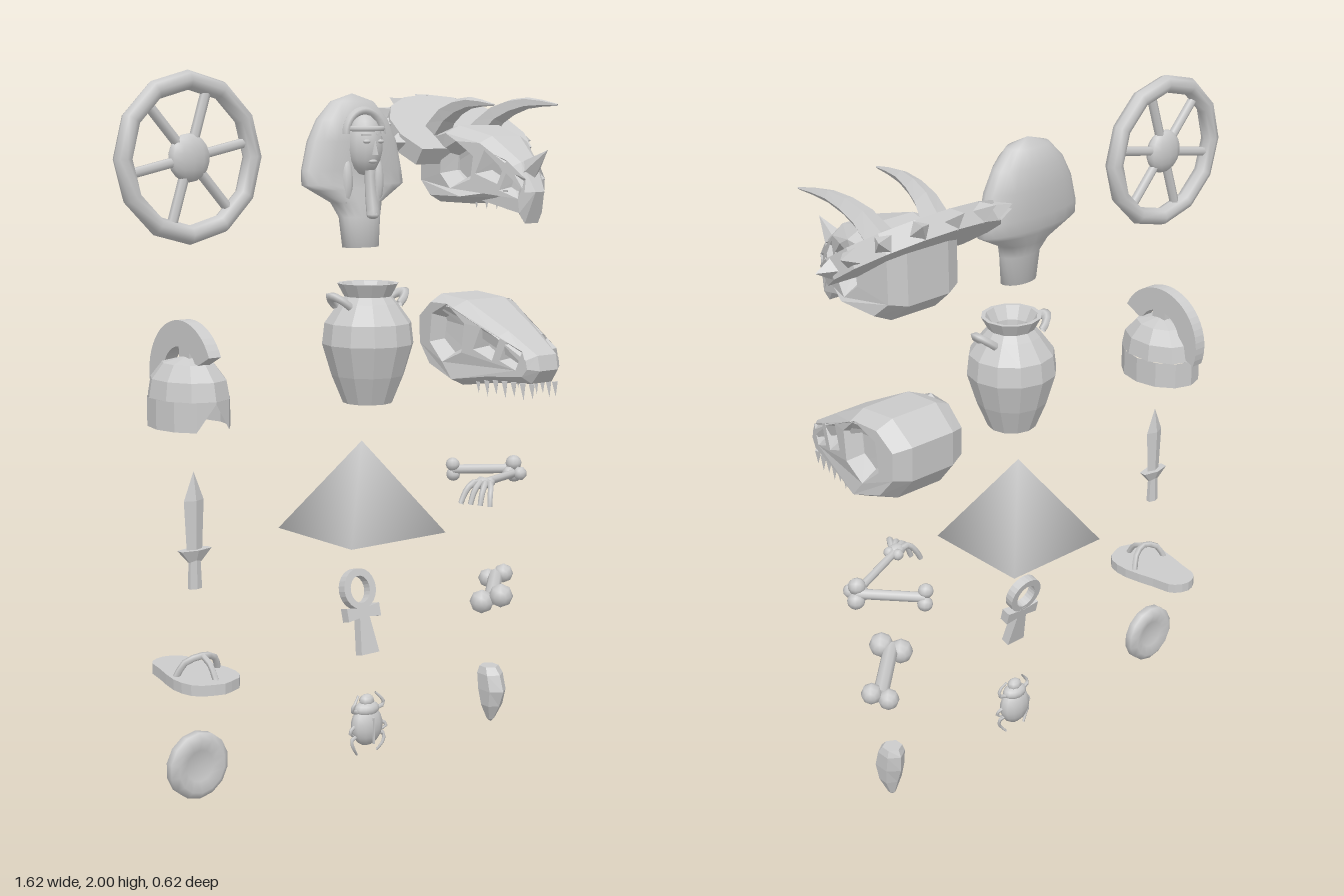
import * as THREE from 'three';
import { mergeVertices } from 'three/addons/utils/BufferGeometryUtils.js';

const soft = new THREE.MeshStandardMaterial({ color: 0xcccccc, side: THREE.DoubleSide });
const flat = new THREE.MeshStandardMaterial({ color: 0xcccccc, side: THREE.DoubleSide, flatShading: true });
const V = (x, y, z) => new THREE.Vector3(x, y, z);
const Z = 0.068; // common depth of the display

export function createModel() {
  const root = new THREE.Group();
  const item = (name, x = 0, y = 0, z = 0) => {
    const g = new THREE.Group();
    g.name = name;
    g.position.set(x, y, z);
    root.add(g);
    return g;
  };
  const add = (group, name, geo, x = 0, y = 0, z = 0, mat = soft) => {
    const m = new THREE.Mesh(geo, mat);
    m.name = name;
    m.position.set(x, y, z);
    group.add(m);
    return m;
  };
  const smooth = g => {
    g.deleteAttribute('uv');
    g.deleteAttribute('normal');
    g = mergeVertices(g, 1e-4);
    g.computeVertexNormals();
    return g;
  };
  // Turned body with rows of [radius, y, depth ratio, z offset]
  const turned = (rows, sides) => {
    const g = new THREE.LatheGeometry(rows.map(r => new THREE.Vector2(r[0], r[1])), sides);
    const p = g.attributes.position;
    for (let i = 0; i < p.count; i++) {
      const r = rows[i % rows.length];
      p.setZ(i, p.getZ(i) * (r[2] ?? 1) + (r[3] ?? 0));
    }
    return smooth(g);
  };
  // Tube whose radius follows a rule along its length
  const taper = (pts, radius, seg = 8, sides = 6) => {
    const path = new THREE.CatmullRomCurve3(pts.map(p => V(...p)));
    const g = new THREE.TubeGeometry(path, seg, 1, sides);
    const p = g.attributes.position, v = V(0, 0, 0);
    for (let i = 0; i < p.count; i++) {
      const t = Math.floor(i / (sides + 1)) / seg, c = path.getPointAt(t);
      v.fromBufferAttribute(p, i).sub(c).multiplyScalar(radius(t)).add(c);
      p.setXYZ(i, v.x, v.y, v.z);
    }
    return smooth(g);
  };
  const ball = (rx, ry, rz, n = 12) => new THREE.SphereGeometry(1, n, Math.ceil(n * 0.7)).scale(rx, ry, rz);
  const poly = pts => new THREE.Shape(pts.map(p => new THREE.Vector2(...p)));
  const extrude = (shape, depth) => new THREE.ExtrudeGeometry(shape, { depth, bevelEnabled: false, curveSegments: 12 }).translate(0, 0, -depth / 2);
  const spike = (group, name, r, h, from, dir, sides = 4) => {
    const m = add(group, name, new THREE.ConeGeometry(r, h, sides).translate(0, h / 2, 0), ...from, flat);
    m.quaternion.setFromUnitVectors(V(0, 1, 0), V(...dir).normalize());
  };

  // Spoked wheel
  const wheel = item('wheel', -0.58, 1.773, Z);
  add(wheel, 'rim', new THREE.TorusGeometry(0.202, 0.026, 8, 12));
  add(wheel, 'hub', ball(0.064, 0.064, 0.03));
  for (let i = 0; i < 6; i++) {
    const a = (12 + i * 60) * Math.PI / 180;
    const s = add(wheel, 'spoke', new THREE.CylinderGeometry(0.014, 0.014, 0.16, 6), Math.cos(a) * 0.12, Math.sin(a) * 0.12, 0);
    s.rotation.z = a - Math.PI / 2;
  }

  // Royal bust with headcloth
  const bust = item('bust', -0.015, 0, 0);
  add(bust, 'headcloth', turned([[0, 1.515, 0.6, 0.08], [0.06, 1.515, 0.6, 0.08], [0.068, 1.6, 0.6, 0.075], [0.085, 1.64, 0.55, 0.06],
    [0.15, 1.675, 0.35, 0.05], [0.178, 1.69, 0.3, 0.045], [0.174, 1.73, 0.33, 0.04], [0.152, 1.81, 0.42, 0.04],
    [0.12, 1.87, 0.48, 0.04], [0.07, 1.92, 0.6, 0.04], [0, 1.942, 1, 0.04]], 20));
  add(bust, 'face', ball(0.055, 0.085, 0.05), 0, 1.8, 0.095);
  add(bust, 'faceFrame', new THREE.TorusGeometry(0.064, 0.012, 6, 16, Math.PI), 0, 1.83, 0.095);
  add(bust, 'headband', new THREE.TorusGeometry(0.053, 0.008, 6, 12, Math.PI).rotateX(Math.PI / 2), 0, 1.845, 0.092);
  add(bust, 'nose', new THREE.ConeGeometry(0.012, 0.045, 4), 0, 1.795, 0.146);
  add(bust, 'mouth', ball(0.016, 0.006, 0.01, 8), 0, 1.755, 0.134);
  add(bust, 'beard', taper([[0, 1.73, 0.12], [0, 1.67, 0.125], [0, 1.607, 0.135]], t => 0.015 + 0.004 * t));
  add(bust, 'beardTip', ball(0.018, 0.012, 0.018, 8), 0, 1.607, 0.135);
  for (const s of [-1, 1]) {
    add(bust, 'eye', ball(0.013, 0.006, 0.008, 8), s * 0.024, 1.81, 0.138);
    add(bust, 'brow', new THREE.BoxGeometry(0.03, 0.006, 0.01), s * 0.025, 1.828, 0.136);
    add(bust, 'lappet', ball(0.022, 0.08, 0.03), s * 0.055, 1.7, 0.075);
  }

  // Skull block: pierced side silhouette widened by a rule, around a solid core
  const skull = (group, outline, holes, width) => {
    const build = (cut, half) => {
      const shape = poly(outline);
      if (cut) for (const [z, y, r, n] of holes) {
        const h = [];
        for (let i = 0; i < n; i++) h.push(new THREE.Vector2(z + r * Math.cos(i / n * 6.2832 + 0.4), y + r * 1.1 * Math.sin(i / n * 6.2832 + 0.4)));
        shape.holes.push(new THREE.Path(h));
      }
      const g = new THREE.ExtrudeGeometry(shape, { depth: 1.2, bevelThickness: 0.4, bevelSize: 0.022, bevelOffset: -0.022, bevelSegments: 1 });
      g.translate(0, 0, -0.6).rotateY(-Math.PI / 2);
      const p = g.attributes.position;
      for (let i = 0; i < p.count; i++) p.setX(i, p.getX(i) * half * width(p.getZ(i)));
      g.computeVertexNormals();
      return g;
    };
    add(group, 'skullShell', build(true, 1), 0, 0, 0, flat);
    add(group, 'skullCore', build(false, 0.7), 0, 0, 0, flat);
  };
  const lerp = THREE.MathUtils.lerp;

  // Horned skull
  const horned = item('hornedSkull', 0.518, 0, 0);
  const hornedWidth = z => z < 0 ? lerp(0.135, 0.11, -z / 0.18) : lerp(0.135, 0.025, z / 0.26);
  skull(horned, [[-0.175, 1.675], [-0.11, 1.62], [0.035, 1.62], [0.165, 1.64], [0.215, 1.567], [0.25, 1.66],
    [0.2, 1.745], [0.1, 1.82], [-0.02, 1.85], [-0.175, 1.82]], [[0.012, 1.735, 0.04, 6], [0.125, 1.73, 0.02, 4], [0.19, 1.68, 0.012, 4]], hornedWidth);
  spike(horned, 'noseHorn', 0.035, 0.1, [0, 1.72, 0.2], [0, 0.07, 0.09], 5);
  const tilt = -57 * Math.PI / 180, rim = [];
  for (let i = 0; i <= 10; i++) {
    const a = (-28 + i * 23.6) * Math.PI / 180;
    rim.push([0.25 * Math.cos(a), 0.2 * Math.sin(a)]);
  }
  add(horned, 'frill', extrude(poly(rim), 0.055), 0, 1.81, -0.115, flat).rotation.x = tilt;
  for (let i = 1; i < 10; i++) {
    const [x, s] = rim[i], d = V(x, s * 1.3, 0).applyAxisAngle(V(1, 0, 0), tilt);
    spike(horned, 'frillSpike', 0.03, 0.05, [x * 0.97, 1.81 + s * 0.97 * Math.cos(tilt), -0.115 + s * 0.97 * Math.sin(tilt)], d.toArray());
  }
  for (const s of [-1, 1]) {
    add(horned, 'browHorn', taper([[s * 0.085, 1.8, -0.13], [s * 0.1, 1.88, -0.05], [s * 0.115, 1.915, 0.06], [s * 0.127, 1.91, 0.185]],
      t => 0.045 * (1 - t) + 0.003, 6, 5), 0, 0, 0, flat);
    for (let i = 0; i < 4; i++) {
      const z = 0.05 + i * 0.035;
      spike(horned, 'tooth', 0.01, 0.035, [s * hornedWidth(z) * 0.6, 1.64, z], [0, -1, 0]);
    }
  }

  // Hunter skull
  const hunter = item('hunterSkull', 0.518, 0, 0);
  const hunterWidth = z => z < 0 ? lerp(0.132, 0.115, -z / 0.18) : lerp(0.132, 0.06, z / 0.3);
  skull(hunter, [[-0.175, 1.28], [-0.17, 1.18], [-0.11, 1.11], [0.01, 1.07], [0.14, 1.09], [0.27, 1.1], [0.3, 1.14], [0.29, 1.185],
    [0.18, 1.25], [0.02, 1.33], [-0.1, 1.34]], [[-0.02, 1.23, 0.058, 6], [0.135, 1.21, 0.02, 4], [0.22, 1.18, 0.012, 4]], hunterWidth);
  for (const s of [-1, 1]) for (let i = 0; i < 7; i++) {
    const z = 0.08 + i * 0.033;
    spike(hunter, 'tooth', 0.012, 0.045 + (i % 2) * 0.008, [s * hunterWidth(z) * 0.72, 1.1, z], [0, -1, 0.1]);
  }

  // Crested helmet
  const helmet = item('helmet', -0.587, 0, 0.06);
  add(helmet, 'dome', turned([[0.103, 1.14, 1.3], [0.095, 1.19, 1.3], [0.065, 1.232, 1.3], [0, 1.252, 1.3]], 10), 0, 0, 0, flat);
  const guard = new THREE.CylinderGeometry(0.103, 0.103, 0.08, 12, 1, true);
  const gp = guard.attributes.position;
  for (let i = 0; i < gp.count; i++) if (gp.getY(i) < 0 && gp.getZ(i) > 0.095) gp.setY(i, 0.035);
  add(helmet, 'cheekAndNeckGuard', guard.scale(1, 1, 1.3), 0, 1.1, 0, flat);
  const arc = new THREE.Shape();
  arc.absarc(0, 0, 0.155, 0.45, 3.5, false);
  arc.absarc(0, 0, 0.085, 3.5, 0.45, true);
  add(helmet, 'crest', extrude(arc, 0.038).rotateY(-Math.PI / 2), 0, 1.19, -0.01, flat);
  add(helmet, 'crestPost', new THREE.BoxGeometry(0.025, 0.06, 0.05), 0, 1.26, 0);

  // Short sword
  const sword = item('shortSword', -0.58, 0, Z);
  add(sword, 'blade', new THREE.CylinderGeometry(0.032, 0.025, 0.14, 4).scale(1, 1, 0.4), 0, 0.785, 0, flat);
  add(sword, 'point', new THREE.ConeGeometry(0.032, 0.08, 4).scale(1, 1, 0.4), 0, 0.895, 0, flat);
  add(sword, 'crossGuard', new THREE.CylinderGeometry(0.022, 0.056, 0.035, 6).rotateX(Math.PI).scale(1, 1, 0.4), 0, 0.702, 0, flat);
  add(sword, 'grip', new THREE.CylinderGeometry(0.018, 0.022, 0.09, 6).scale(1, 1, 0.6), 0, 0.655, 0, flat);

  // Sandal
  const sandal = item('sandal', -0.58, 0.345, 0);
  const sole = new THREE.Shape();
  sole.setFromPoints(new THREE.SplineCurve([[0, -0.21], [0.07, -0.18], [0.09, -0.1], [0.065, 0.02], [0.05, 0.08], [0, 0.105],
    [-0.05, 0.08], [-0.065, 0.02], [-0.09, -0.1], [-0.07, -0.18], [0, -0.21]].map(p => new THREE.Vector2(...p))).getPoints(24));
  add(sandal, 'sole', extrude(sole, 0.03).rotateX(-Math.PI / 2), 0, 0.015, 0);
  add(sandal, 'strap', taper([[-0.07, 0.02, 0.07], [-0.05, 0.065, 0.085], [0, 0.082, 0.1], [0.05, 0.065, 0.085], [0.07, 0.02, 0.07]], () => 0.01, 8, 5));
  add(sandal, 'toeThong', taper([[0, 0.082, 0.1], [0, 0.065, 0.14], [0, 0.02, 0.17]], () => 0.009, 5, 5));

  // Dished disc
  add(item('disc', -0.58, 0.106, Z), 'disc', turned([[0, -0.012], [0.045, -0.015], [0.075, -0.026], [0.095, -0.012],
    [0.095, 0.012], [0.075, 0.026], [0.045, 0.015], [0, 0.012]], 14).rotateX(Math.PI / 2));

  // Two-handled vase
  const vase = item('vase', 0.008, 0, 0.085);
  add(vase, 'body', turned([[0, 1.07], [0.072, 1.07], [0.105, 1.15], [0.132, 1.24], [0.125, 1.3], [0.085, 1.355], [0.068, 1.375],
    [0.088, 1.412], [0.076, 1.412], [0.055, 1.375], [0.05, 1.33], [0, 1.33]], 12), 0, 0, 0, flat);
  for (const s of [-1, 1]) {
    const h = add(vase, 'handle', new THREE.TorusGeometry(0.032, 0.012, 5, 8, Math.PI).scale(1, 1.5, 1).rotateY(Math.PI / 2), s * 0.09, 1.35, 0);
    h.rotation.z = -s * 0.9;
  }

  // Pyramid with soft shading
  add(item('pyramid', 0, 0.8225, Z), 'pyramid', smooth(new THREE.ConeGeometry(0.245, 0.265, 4).rotateY(Math.PI / 4)));

  // Looped cross, leaning back
  const cross = item('loopedCross', 0.005, 0.44, 0.06);
  cross.rotation.x = -0.26;
  const loop = new THREE.Shape().absellipse(0, 0.07, 0.058, 0.06, 0, Math.PI * 2);
  loop.holes.push(new THREE.Path().absellipse(0, 0.068, 0.035, 0.04, 0, Math.PI * 2));
  add(cross, 'loop', extrude(loop, 0.028));
  add(cross, 'arms', extrude(poly([[-0.06, -0.02], [0, -0.012], [0.06, -0.02], [0.06, 0.02], [0, 0.012], [-0.06, 0.02]]), 0.03));
  add(cross, 'stem', extrude(poly([[-0.033, -0.122], [0.033, -0.122], [0.013, 0.02], [-0.013, 0.02]]), 0.029));

  // Scarab
  const scarab = item('scarab', 0.02, 0.1, Z);
  add(scarab, 'wingCase', ball(0.054, 0.062, 0.035), 0, -0.005, 0);
  add(scarab, 'collar', ball(0.042, 0.024, 0.03), 0, 0.045, 0);
  add(scarab, 'head', ball(0.025, 0.02, 0.02, 8), 0, 0.07, 0);
  add(scarab, 'wingSeam', new THREE.BoxGeometry(0.005, 0.08, 0.006), 0, -0.015, 0.034);
  for (const s of [-1, 1]) for (const [y, dy, out] of [[0.04, 0.05, 0.05], [0, -0.03, 0.068], [-0.03, -0.06, 0.055]])
    add(scarab, 'leg', taper([[s * 0.03, y, 0], [s * 0.06, y + dy * 0.2, 0.005], [s * out, y + dy * 0.6, 0.008], [s * (out - 0.018), y + dy, 0]],
      t => 0.0075 - 0.004 * t, 6, 5));

  // Bones: a shaft with a pair of knuckles at each end
  const bone = (group, name, a, b, r, ka, kb) => {
    const A = V(...a), B = V(...b), dir = B.clone().sub(A);
    const g = new THREE.Group();
    g.name = name;
    g.position.copy(A);
    g.quaternion.setFromUnitVectors(V(0, 1, 0), dir.clone().normalize());
    group.add(g);
    const L = dir.length();
    add(g, 'shaft', new THREE.CylinderGeometry(r, r, L, 8), 0, L / 2, 0);
    for (const [y, k] of [[0, ka], [L, kb]]) for (const s of [-1, 1])
      add(g, 'knuckle', ball(k, k, k, 8), s * k * 0.35, y, s * k * 0.75);
  };
  bone(item('thighBone'), 'thighBone', [0.425, 0.435, 0.165], [0.612, 0.44, -0.02], 0.023, 0.037, 0.031);
  const arm = item('armBones');
  bone(arm, 'upperArm', [0.655, 0.785, 0.01], [0.52, 0.778, -0.125], 0.015, 0.025, 0.022);
  bone(arm, 'forearm', [0.64, 0.775, 0.03], [0.44, 0.785, 0.115], 0.012, 0.022, 0.017);
  add(arm, 'wrist', ball(0.028, 0.018, 0.024, 8), 0.422, 0.785, 0.125);
  for (let i = 0; i < 4; i++) add(arm, 'finger', taper([[0.425, 0.785, 0.115 + i * 0.008], [0.385 + i * 0.006, 0.79, 0.12 + i * 0.02],
    [0.36 + i * 0.008, 0.765, 0.115 + i * 0.028], [0.342 + i * 0.012, 0.732, 0.115 + i * 0.03]], t => 0.011 - 0.003 * t, 6, 6));

  // Fossil tooth
  add(item('fossilTooth', 0.517, 0, Z), 'tooth', turned([[0, 0.002, 1, 0], [0.012, 0.012, 1, 0], [0.034, 0.06, 1, 0.005],
    [0.039, 0.11, 1.35, 0.005], [0.038, 0.16, 1.2, -0.005], [0.03, 0.182, 1, -0.01], [0, 0.182, 1, -0.01]], 6), 0, 0, 0, flat);

  return root;
}
